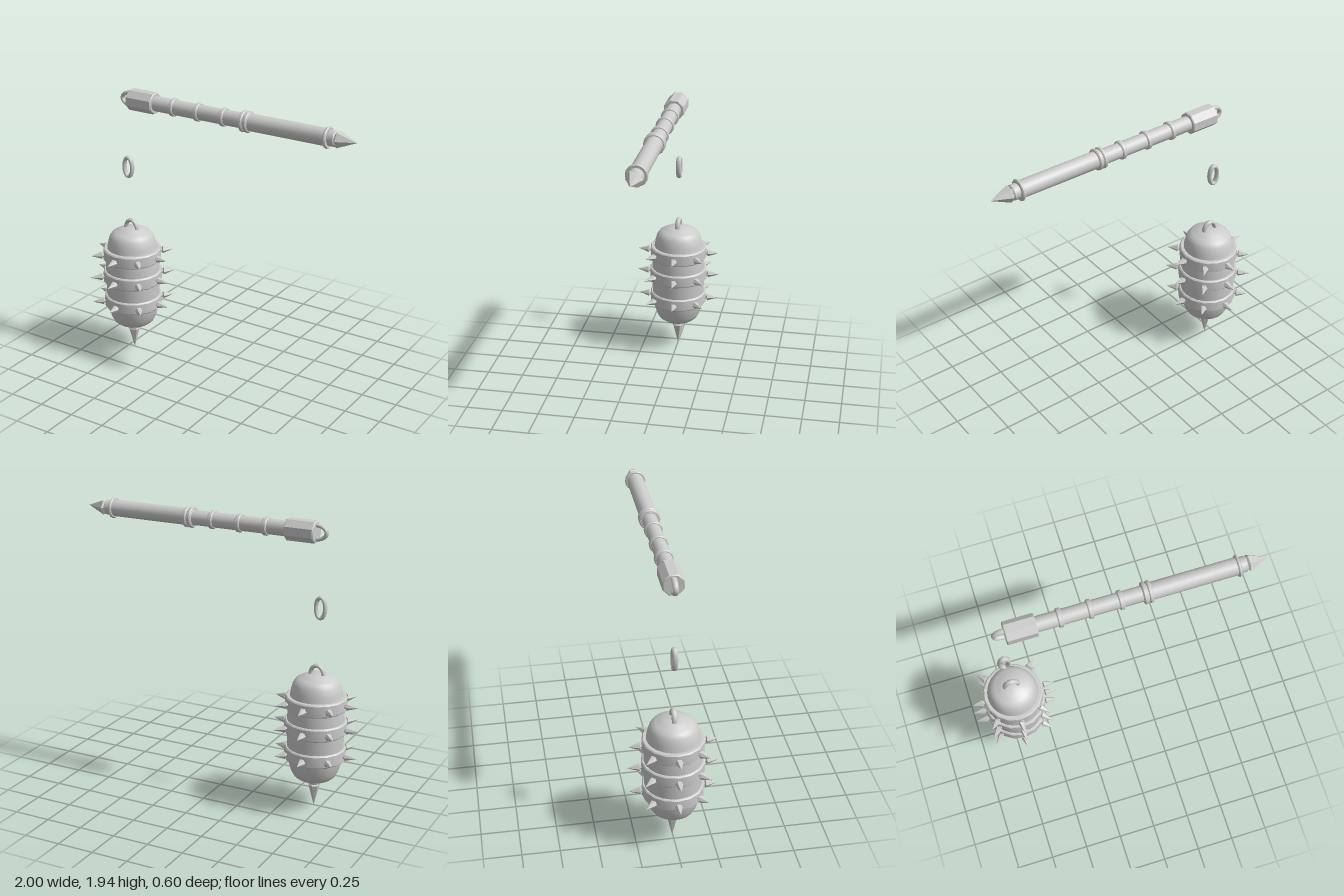
import * as THREE from 'three';
import { toCreasedNormals } from 'three/addons/utils/BufferGeometryUtils.js';

const material = new THREE.MeshStandardMaterial({ color: 0xcccccc });

// Turned part: profile of [radius, height] from bottom to top, hard edges kept sharp
function turned(name, profile, sides, phase = 0) {
  const points = profile.map(([r, y]) => new THREE.Vector2(r, y));
  const geometry = toCreasedNormals(new THREE.LatheGeometry(points, sides, phase), 0.6);
  const mesh = new THREE.Mesh(geometry, material);
  mesh.name = name;
  return mesh;
}

// Closed drum with bevelled rims between heights y0 and y1
function drum(name, r, y0, y1, sides = 16, bevel = 0.006, phase = 0) {
  return turned(name, [
    [0, y0], [r - bevel, y0], [r, y0 + bevel], [r, y1 - bevel], [r - bevel, y1], [0, y1],
  ], sides, phase);
}

// Elliptical bar in the xy plane, either a full ring or an arc
function loop(name, rx, ry, from, sweep) {
  const closed = sweep >= Math.PI * 2;
  const points = [];
  const steps = 20;
  for (let i = 0; i < (closed ? steps : steps + 1); i++) {
    const a = from + (sweep * i) / steps;
    points.push(new THREE.Vector3(rx * Math.cos(a), ry * Math.sin(a), 0));
  }
  const path = new THREE.CatmullRomCurve3(points, closed);
  const mesh = new THREE.Mesh(new THREE.TubeGeometry(path, 32, 0.013, 10, closed), material);
  mesh.scale.z = 1.4;
  mesh.name = name;
  return mesh;
}

// Handle, built upright and laid along x
function createHandle() {
  const handle = new THREE.Group();
  handle.name = 'handle';
  handle.add(drum('octagonalFerrule', 0.0735, -0.675, -0.475, 8, 0.006, Math.PI / 8));
  handle.add(drum('thinShaft', 0.05, -0.48, 0.2, 16, 0.002));
  for (const x of [-0.33, -0.14, 0.055]) handle.add(drum('gripRing', 0.061, x - 0.016, x + 0.016));
  for (const x of [0.205, 0.238]) handle.add(drum('middleCollar', 0.07, x - 0.013, x + 0.013));
  handle.add(drum('middleSleeve', 0.06, 0.19, 0.255));
  handle.add(drum('thickShaft', 0.056, 0.24, 0.81, 16, 0.002));
  handle.add(drum('endCollar', 0.07, 0.793, 0.812));
  handle.add(drum('endCap', 0.05, 0.81, 0.86));
  handle.add(turned('endSpike', [[0, 0.855], [0.04, 0.857], [0.056, 0.872], [0, 1]], 6));
  handle.rotation.z = -Math.PI / 2;
  handle.position.y = 1.866;
  return handle;
}

// Spiked weight hanging below the handle
function createWeight() {
  const weight = new THREE.Group();
  weight.name = 'weight';
  weight.add(turned('body', [
    [0, 0.18], [0.06, 0.183], [0.08, 0.197], [0.115, 0.208], [0.14, 0.228], [0.155, 0.255],
    [0.172, 0.31], [0.183, 0.36], [0.187, 0.45], [0.19, 0.577], [0.187, 0.7], [0.178, 0.76],
    [0.168, 0.82], [0.155, 0.868], [0.138, 0.893], [0.115, 0.907], [0.09, 0.917], [0.07, 0.929], [0, 0.931],
  ], 24));

  // Three bands, each with eight spikes
  for (const [y, radius, tip] of [[0.39, 0.203, 0.29], [0.577, 0.207, 0.3], [0.742, 0.203, 0.29]]) {
    weight.add(drum('band', radius, y - 0.044, y + 0.044, 16, 0.008));
    for (let i = 0; i < 8; i++) {
      const spike = turned('bandSpike', [
        [0.014, radius - 0.02], [0.014, radius + 0.006], [0.026, radius + 0.012], [0, tip],
      ], 6);
      spike.rotation.z = -Math.PI / 2;
      const pivot = new THREE.Group();
      pivot.name = 'spikeMount';
      pivot.rotation.y = (i * Math.PI) / 4;
      pivot.position.y = y;
      pivot.add(spike);
      weight.add(pivot);
    }
  }

  // Bottom spike on its collar
  weight.add(drum('bottomCollar', 0.048, 0.165, 0.19, 16, 0.004));
  weight.add(turned('bottomSpike', [[0, 0], [0.038, 0.15], [0.026, 0.16], [0.026, 0.18]], 6));

  const eye = loop('topEye', 0.047, 0.067, 0, Math.PI);
  eye.position.y = 0.92;
  weight.add(eye);
  weight.position.x = -0.7;
  return weight;
}

export function createModel() {
  const model = new THREE.Group();
  model.name = 'flail';

  const handleEye = loop('handleEye', 0.072, 0.045, Math.PI / 2, Math.PI);
  handleEye.position.set(-0.67, 1.866, 0);

  // Loose link between handle and weight
  const link = loop('chainLink', 0.032, 0.068, 0, Math.PI * 2);
  link.position.set(-0.713, 1.377, 0);

  model.add(createHandle(), handleEye, link, createWeight());
  return model;
}
